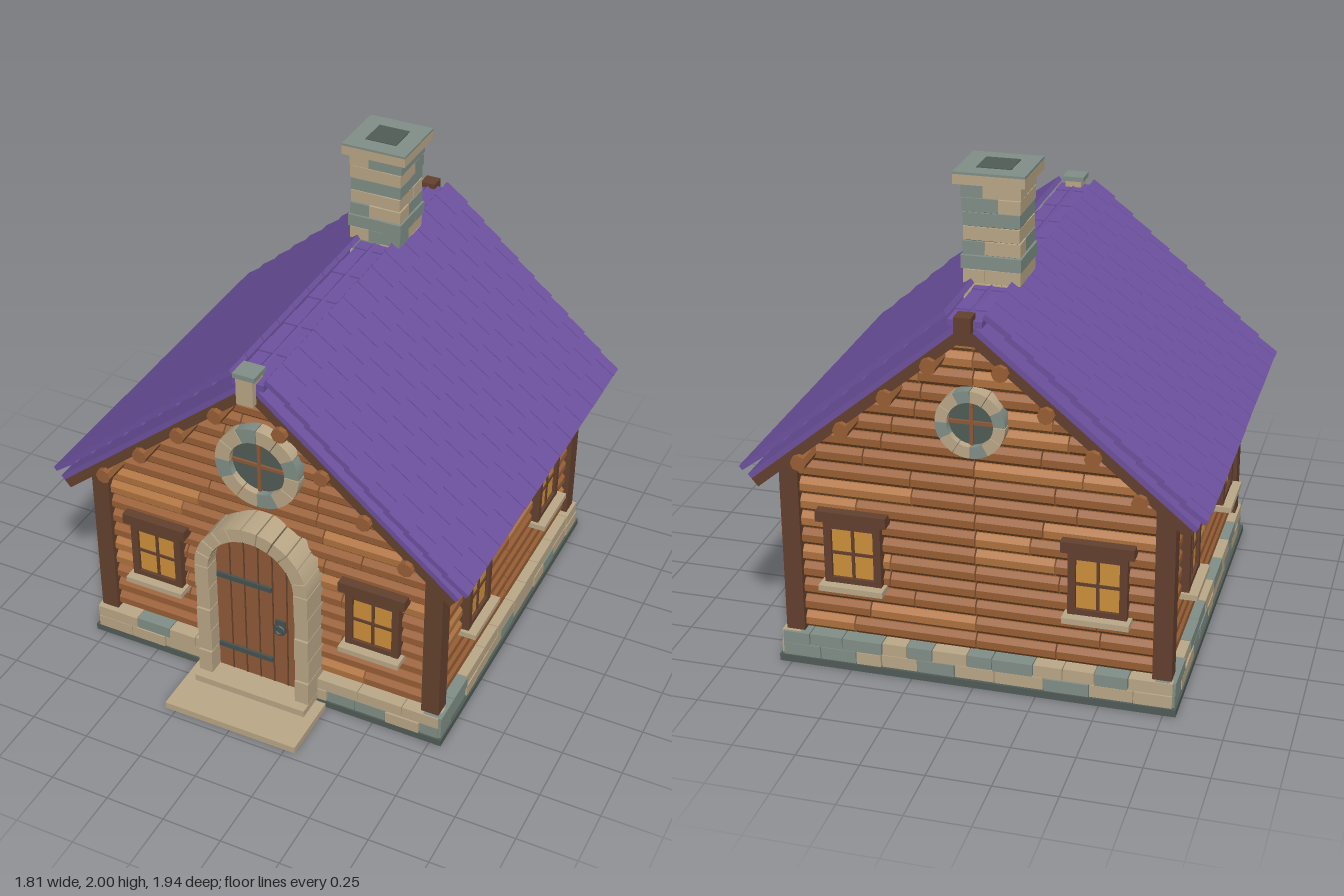
import * as THREE from 'three';
import { mergeGeometries } from 'three/addons/utils/BufferGeometryUtils.js';

const mat = (name, color) => {
  const m = new THREE.MeshStandardMaterial({ color, flatShading: true });
  m.name = name;
  return m;
};

export function createModel() {
  const M = {
    log: mat('log brown', 0x9a6036),
    logLight: mat('light log brown', 0xb17440),
    timber: mat('dark timber', 0x64412e),
    door: mat('door wood', 0x905a38),
    stone: mat('tan stone', 0xbca988),
    grey: mat('grey stone', 0x829088),
    slab: mat('dark slab', 0x525d57),
    iron: mat('iron', 0x465350),
    roof: mat('purple shingle', 0x6e52a0),
    glass: mat('amber glass', 0xd0923c),
  };
  let seed = 7;
  const rnd = () => (seed = (seed * 16807) % 2147483647) / 2147483647;

  const model = new THREE.Group();
  model.name = 'cottage';
  const house = new THREE.Group();
  house.name = 'house';
  house.position.z = -0.105;
  model.add(house);

  const box = (x0, x1, y0, y1, z0, z1) => new THREE.BoxGeometry(x1 - x0, y1 - y0, z1 - z0)
    .translate((x0 + x1) / 2, (y0 + y1) / 2, (z0 + z1) / 2);
  const extrude = (shape, depth, z, curveSegments = 12) => new THREE.ExtrudeGeometry(shape,
    { depth, bevelEnabled: false, curveSegments }).translate(0, 0, z);
  // merge pieces of one colour into a named mesh
  const add = (parent, name, material, geos) => {
    const list = [].concat(geos).map(g => (g.index ? g.toNonIndexed() : g));
    if (!list.length) return;
    const mesh = new THREE.Mesh(mergeGeometries(list), material);
    mesh.name = name;
    parent.add(mesh);
  };
  const group = (parent, name, turn = 0) => {
    const g = new THREE.Group();
    g.name = name;
    g.rotation.y = turn;
    parent.add(g);
    return g;
  };
  // wedge stones of an arch or ring
  const wedges = (cy, rin, rout, from, to, n, z0, z1) => Array.from({ length: n }, (_, i) => {
    const step = (to - from) / n, a = from + i * step + 0.012, b = from + (i + 1) * step - 0.012;
    const s = new THREE.Shape();
    s.absarc(0, cy, rout, a, b, false);
    s.absarc(0, cy, rin, b, a, true);
    return extrude(s, z1 - z0, z0, 3);
  });

  // ---- log walls, each built facing +z and then turned ----
  const ROW = 0.0735, Y0 = 0.135;
  const gable = y => Math.max(0, (1.5 - y) / 0.833);
  const profile = new THREE.Shape([[-0.03, 0.002], [0, 0.002], [0.018, 0.02], [0.018, 0.05], [0, 0.0715], [-0.03, 0.0715]]
    .map(p => new THREE.Vector2(...p)));
  function logWall(parent, half, face, rows, centreJoint) {
    const light = [], dark = [];
    for (let r = 0; r < rows; r++) {
      const y = Y0 + r * ROW, reach = Math.min(half, gable(y));
      const cuts = [-reach];
      if (centreJoint) cuts.push(-reach * (0.3 + 0.4 * rnd()), 0, reach * (0.3 + 0.4 * rnd()));
      else cuts.push(-reach * (0.15 + 0.5 * rnd()), reach * (0.15 + 0.5 * rnd()));
      cuts.push(reach);
      for (let i = 0; i + 1 < cuts.length; i++) {
        const a = cuts[i] + 0.003, b = cuts[i + 1] - 0.003;
        if (b - a < 0.01) continue;
        const g = new THREE.ExtrudeGeometry(profile, { depth: b - a, bevelEnabled: false });
        g.rotateY(-Math.PI / 2).translate(b, y, face);
        const p = g.attributes.position;
        for (let v = 0; v < p.count; v++) {
          const lim = gable(p.getY(v));
          p.setX(v, THREE.MathUtils.clamp(p.getX(v), -lim, lim));
        }
        (rnd() < 0.22 ? light : dark).push(g);
      }
    }
    add(parent, 'logs', M.log, dark);
    add(parent, 'lightLogs', M.logLight, light);
  }

  function squareWindow(parent, x, face) {
    const w = group(parent, 'window');
    w.position.set(x, 0, face);
    add(w, 'windowGlass', M.glass, box(-0.09, 0.09, 0.39, 0.62, 0, 0.015));
    const bars = [box(-0.006, 0.006, 0.4, 0.61, 0.01, 0.021), box(-0.085, 0.085, 0.498, 0.51, 0.01, 0.021)];
    for (const s of [-1, 1]) bars.push(box(s * 0.1 - 0.015, s * 0.1 + 0.015, 0.375, 0.64, -0.02, 0.03));
    bars.push(box(-0.115, 0.115, 0.375, 0.4, -0.02, 0.029), box(-0.115, 0.115, 0.61, 0.64, -0.02, 0.029));
    add(w, 'windowFrame', M.timber, bars);
    add(w, 'windowHeader', M.timber, box(-0.142, 0.142, 0.64, 0.685, -0.02, 0.042));
    add(w, 'windowSill', M.stone, box(-0.13, 0.13, 0.353, 0.377, -0.02, 0.067));
  }

  function roundWindow(parent, r, face) {
    const w = group(parent, 'roundWindow'), cy = 1.12, rin = r * 0.66;
    const ring = wedges(cy, rin, r, 0, Math.PI * 2, 12, face - 0.02, face + 0.045);
    add(w, 'ringStones', M.stone, ring.filter((_, i) => i % 3));
    add(w, 'greyRingStones', M.grey, ring.filter((_, i) => i % 3 === 0));
    add(w, 'roundPane', M.slab, new THREE.CylinderGeometry(rin + 0.01, rin + 0.01, 0.03, 24)
      .rotateX(Math.PI / 2).translate(0, cy, face));
    add(w, 'roundBars', M.door, [box(-0.007, 0.007, cy - rin, cy + rin, face, face + 0.025),
      box(-rin, rin, cy - 0.007, cy + 0.007, face, face + 0.024)]);
  }

  // two courses of foundation stones along one side
  function foundation(parent, half, face) {
    const tan = [], grey = [];
    for (let r = 0; r < 2; r++) {
      let x = -half;
      while (x < half - 0.001) {
        let end = x + 0.1 + 0.1 * rnd();
        if (end > half - 0.07) end = half;
        const out = face - 0.008 * rnd();
        (rnd() < 0.4 ? grey : tan).push(box(x + 0.002, end - 0.002, 0.03 + r * 0.053, 0.081 + r * 0.053, face - 0.08, out));
        x = end;
      }
    }
    add(parent, 'foundationStones', M.stone, tan);
    add(parent, 'greyFoundationStones', M.grey, grey);
  }

  const sides = [['front', 0, 0.74, 0.742], ['left', Math.PI / 2, 0.74, 0.755],
    ['back', Math.PI, 0.74, 0.742], ['right', -Math.PI / 2, 0.74, 0.755]];
  const walls = {};
  for (const [name, turn, half, face] of sides) {
    const g = walls[name] = group(house, name + 'Wall', turn), end = name === 'front' || name === 'back';
    logWall(g, half - 0.02, face - 0.018, end ? 18 : 10, !end || name === 'back');
    foundation(g, end ? 0.785 : 0.775, end ? 0.785 : 0.795);
    const xs = end ? [-0.485, 0.485] : [-0.383, 0.383];
    for (const x of xs) squareWindow(g, x, face);
  }
  roundWindow(walls.front, 0.18, 0.742);
  roundWindow(walls.back, 0.135, 0.742);

  // solid core behind the logs
  const core = new THREE.Shape([[-0.72, 0.03], [0.72, 0.03], [0.72, 0.88], [0, 1.48], [-0.72, 0.88]]
    .map(p => new THREE.Vector2(...p)));
  add(house, 'wallCore', M.timber, extrude(core, 1.43, -0.715));
  add(house, 'baseSlab', M.slab, box(-0.8, 0.8, 0, 0.03, -0.79, 0.785));
  const posts = [];
  for (const sx of [-1, 1]) for (const sz of [-1, 1]) {
    posts.push(new THREE.BoxGeometry(0.075, 0.725, 0.075).translate(sx * 0.738, 0.4975, sz * 0.722));
  }
  add(house, 'cornerPosts', M.timber, posts);

  // ---- door and entrance ----
  const entry = group(model, 'entrance');
  const leaf = new THREE.Shape();
  leaf.moveTo(-0.195, 0.06);
  leaf.lineTo(0.195, 0.06);
  leaf.lineTo(0.195, 0.62);
  leaf.absarc(0, 0.62, 0.195, 0, Math.PI, false);
  add(entry, 'door', M.door, extrude(leaf, 0.06, 0.63));
  const seams = [];
  for (let i = -2; i <= 2; i++) {
    const x = i * 0.063;
    seams.push(box(x - 0.003, x + 0.003, 0.06, 0.62 + Math.sqrt(0.19 ** 2 - x * x), 0.685, 0.692));
  }
  add(entry, 'plankSeams', M.timber, seams);
  const frame = wedges(0.62, 0.19, 0.25, 0, Math.PI, 11, 0.62, 0.76);
  for (const s of [-1, 1]) for (let i = 0; i < 5; i++) {
    frame.push(box(s * 0.22 - 0.03, s * 0.22 + 0.03, 0.062 + i * 0.112, 0.17 + i * 0.112, 0.62, 0.76 - (i % 2) * 0.006));
  }
  add(entry, 'doorStones', M.stone, frame);
  add(entry, 'hinges', M.iron, [0.18, 0.55].map(y => box(-0.185, 0.06, y - 0.011, y + 0.011, 0.685, 0.702)));
  add(entry, 'doorHandle', M.iron, [box(0.075, 0.12, 0.345, 0.405, 0.685, 0.7),
    new THREE.TorusGeometry(0.02, 0.007, 6, 12).translate(0.1, 0.365, 0.71)]);
  add(entry, 'steps', M.stone, [box(-0.295, 0.295, 0, 0.03, 0.69, 0.97), box(-0.25, 0.25, 0.028, 0.06, 0.6, 0.8)]);

  // ---- roof: one slope, turned half round for the other ----
  const DEPTH = 1.67;
  const slopeBox = (x0, y0, x1, y1, thick, drop, depth) => {
    const len = Math.hypot(x1 - x0, y1 - y0);
    return new THREE.BoxGeometry(len, thick, depth).translate(len / 2, -drop - thick / 2, 0)
      .rotateZ(Math.atan2(y1 - y0, x1 - x0)).translate(x0, y0, 0);
  };
  for (const [name, turn] of [['leftRoof', 0], ['rightRoof', Math.PI]]) {
    const g = group(house, name, turn);
    add(g, 'roofDeck', M.roof, slopeBox(0, 1.56, 0.87, 0.835, 0.022, 0, DEPTH));
    add(g, 'rafterBoard', M.timber, slopeBox(0, 1.56, 0.87, 0.835, 0.04, 0.022, DEPTH));
    const tiles = [], angle = Math.atan2(-0.715, 0.81), pitch = DEPTH / 13;
    for (let k = 0; k < 10; k++) {
      const t = (k + 0.5) / 10, cx = 0.08 + 0.81 * t, cy = 1.572 - 0.715 * t;
      for (let i = 0; i <= 13; i++) {
        const shift = k % 2 ? 0.5 : 0;
        const a = Math.max(0, i - shift) * pitch, b = Math.min(13, i + 1 - shift) * pitch;
        if (b - a < 0.01) continue;
        tiles.push(new THREE.BoxGeometry(0.122 + 0.008 * (rnd() - 0.5), 0.021, b - a - 0.005)
          .rotateZ(angle + 0.09).translate(cx, cy, (a + b) / 2 - DEPTH / 2));
      }
    }
    add(g, 'shingles', M.roof, tiles);
    // purlin ends under the gables
    add(g, 'purlins', M.log, [[0.135, 1.365], [0.305, 1.22], [0.48, 1.07], [0.655, 0.915]].map(([x, y]) =>
      new THREE.CylinderGeometry(0.032, 0.032, 1.715, 8).rotateX(Math.PI / 2).translate(x, y, 0)));
  }
  const caps = [];
  for (let i = 0; i < 16; i++) {
    const p = DEPTH / 16, z = -DEPTH / 2 + i * p;
    caps.push(box(-0.065, 0.065, 1.525, 1.55 + (i % 2) * 0.004, z + 0.002, z + p - 0.002));
  }
  add(house, 'ridgeCaps', M.roof, caps);
  add(house, 'ridgeBeam', M.timber, [box(-0.032, 0.032, 1.45, 1.53, -0.83, 0.83), box(-0.032, 0.032, 1.51, 1.572, -0.865, -0.8)]);
  add(house, 'gableKeystone', M.stone, box(-0.035, 0.035, 1.465, 1.58, 0.78, 0.863));
  add(house, 'keystoneTop', M.grey, box(-0.046, 0.046, 1.58, 1.6, 0.775, 0.867));

  // ---- chimney ----
  const chimney = group(model, 'chimney');
  chimney.position.z = -0.48;
  const tan = [], grey = [];
  for (let c = 0; c < 9; c++) {
    const y = 1.45 + c * 0.0555, h = c === 3 ? 0.118 : 0.109 + 0.006 * rnd(), w = 0.085, s = c % 2 ? 1 : -1;
    for (let i = 0; i < 4; i++) {
      const g = box(-h, h - w, y + 0.002, y + 0.0535, h - w, h - 0.003 * rnd());
      if (s < 0) g.rotateZ(Math.PI).translate(0, 2 * y + 0.0555, 0);
      g.rotateY(i * Math.PI / 2);
      (c === 3 || c === 6 || rnd() < 0.08 ? grey : tan).push(g);
    }
  }
  add(chimney, 'chimneyStones', M.stone, tan);
  add(chimney, 'greyChimneyStones', M.grey, grey);
  add(chimney, 'chimneyCore', M.slab, box(-0.1, 0.1, 1.45, 1.95, -0.1, 0.1));
  add(chimney, 'chimneyCap', M.stone, box(-0.138, 0.138, 1.95, 1.988, -0.138, 0.138));
  add(chimney, 'capTop', M.grey, box(-0.138, 0.138, 1.988, 1.997, -0.138, 0.138));
  add(chimney, 'flue', M.slab, box(-0.067, 0.067, 1.99, 2, -0.067, 0.067));

  return model;
}
